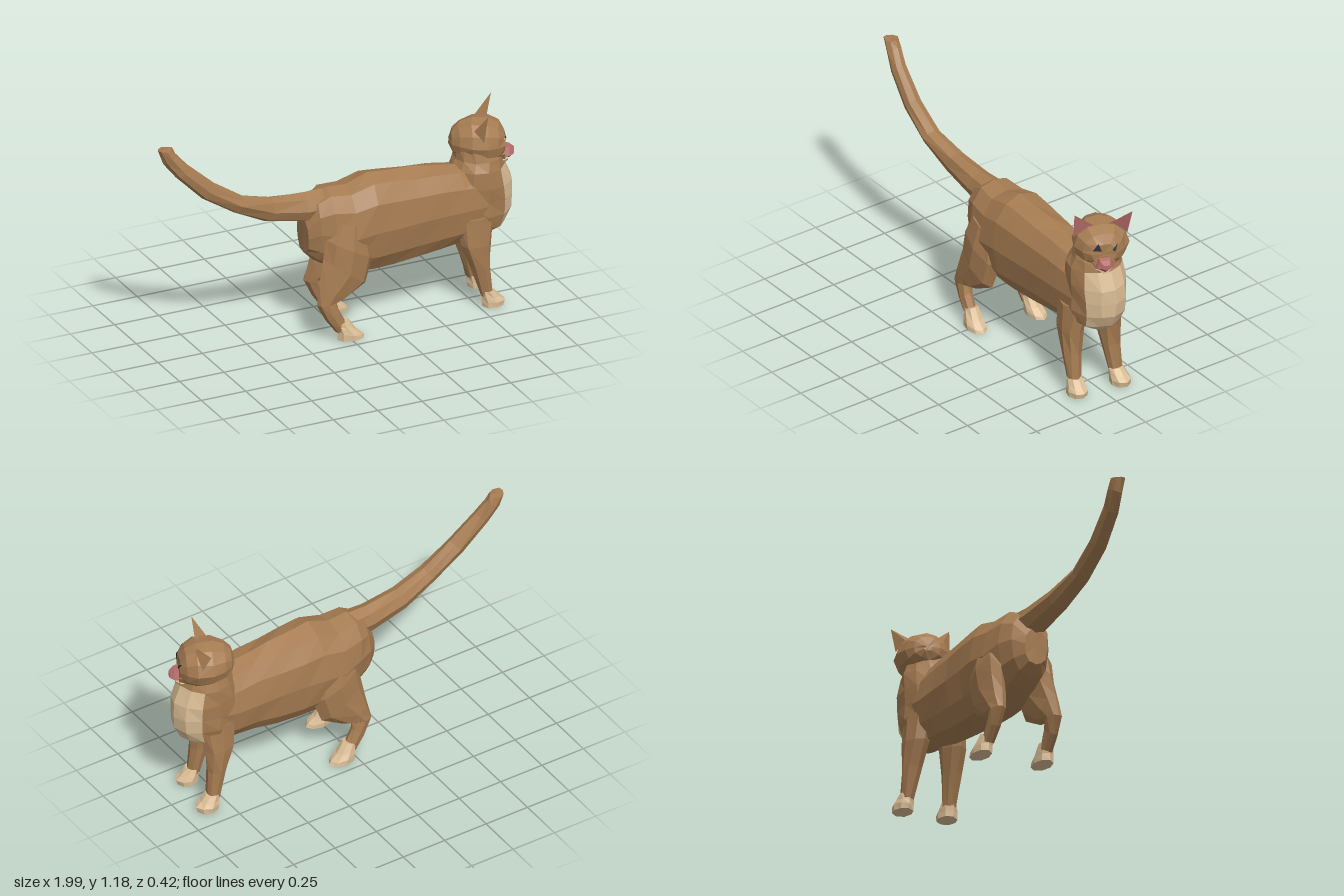
import * as THREE from 'three';

const mat = (name, color) => {
  const m = new THREE.MeshStandardMaterial({ color });
  m.name = name;
  return m;
};

// Small seeded wobble for a hand-cut, faceted look
let seed = 7;
const wobble = (amount) => {
  seed = (seed * 16807) % 2147483647;
  return (seed / 2147483647 - 0.5) * 2 * amount;
};

const flat = (geometry) => {
  const g = geometry.index ? geometry.toNonIndexed() : geometry;
  g.computeVertexNormals();
  return g;
};

// Skin rounded rings [x, y, z, radius in the side plane, radius in z, tilt in degrees].
// power below 1 makes the rings boxier; paint(ring, side) may return 1 for the second material.
function loft(name, materials, rings, { sides = 8, rough = 0.004, power = 1, paint = () => 0 } = {}) {
  const pos = [], faces = [[], []], last = rings.length - 1;
  const round = (v) => Math.sign(v) * Math.abs(v) ** power;
  for (const [x, y, z, r, rz, tilt] of rings) {
    const t = THREE.MathUtils.degToRad(tilt);
    for (let j = 0; j < sides; j++) {
      const a = (j / sides) * Math.PI * 2, u = r * round(Math.cos(a));
      pos.push(x + u * Math.cos(t) + wobble(rough), y + u * Math.sin(t) + wobble(rough),
        z + rz * round(Math.sin(a)) + wobble(rough));
    }
  }
  for (const ring of [rings[0], rings[last]]) pos.push(ring[0], ring[1], ring[2]);
  const start = rings.length * sides;
  for (let j = 0; j < sides; j++) {
    const k = (j + 1) % sides;
    for (let i = 0; i < last; i++) {
      const a = i * sides + j, b = i * sides + k, c = a + sides, d = b + sides;
      faces[paint(i, j)].push(a, b, c, b, d, c);
    }
    faces[0].push(start, k, j, start + 1, last * sides + j, last * sides + k);
  }
  const g = new THREE.BufferGeometry();
  g.setAttribute('position', new THREE.Float32BufferAttribute(pos, 3));
  g.setIndex([...faces[0], ...faces[1]]);
  if (Array.isArray(materials)) {
    g.addGroup(0, faces[0].length, 0);
    g.addGroup(faces[0].length, faces[1].length, 1);
  }
  const mesh = new THREE.Mesh(flat(g), materials);
  mesh.name = name;
  return mesh;
}

function triangles(name, material, points) {
  const g = new THREE.BufferGeometry();
  g.setAttribute('position', new THREE.Float32BufferAttribute(points.flat(), 3));
  const mesh = new THREE.Mesh(flat(g), material);
  mesh.name = name;
  return mesh;
}

export function createModel() {
  seed = 7;
  const fur = mat('brown fur', 0xa67c52);
  const cream = mat('cream fur', 0xdabd95);
  const pink = mat('pink skin', 0xb56c6a);
  const dark = mat('dark eye', 0x2a2f33);
  const cat = new THREE.Group();
  cat.name = 'cat';

  // Trunk: [x, top, bottom, half width]
  const trunk = [
    [-0.185, 0.64, 0.45, 0.07], [-0.13, 0.75, 0.4, 0.115], [-0.06, 0.79, 0.355, 0.145],
    [0.05, 0.78, 0.305, 0.166], [0.17, 0.82, 0.285, 0.17], [0.28, 0.815, 0.288, 0.163],
    [0.42, 0.8, 0.302, 0.152], [0.55, 0.785, 0.317, 0.145], [0.67, 0.768, 0.333, 0.142],
    [0.8, 0.75, 0.365, 0.135],
  ];
  cat.add(loft('body', fur, trunk.map(([x, top, bottom, w]) =>
    [x, (top + bottom) / 2, 0, (top - bottom) / 2, w, 90]), { sides: 12, rough: 0.005, power: 0.87 }));

  // Chest and neck with the cream bib on the front: [y, rear x, front x, half width]
  const chest = [
    [0.87, 0.69, 0.89, 0.1], [0.79, 0.68, 0.932, 0.125], [0.74, 0.655, 0.95, 0.142],
    [0.65, 0.62, 0.985, 0.147], [0.57, 0.61, 0.992, 0.145], [0.49, 0.62, 0.985, 0.142],
    [0.42, 0.65, 0.95, 0.125], [0.385, 0.69, 0.91, 0.085], [0.36, 0.73, 0.865, 0.05],
  ];
  cat.add(loft('chest', [fur, cream], chest.map(([y, back, front, w]) =>
    [(back + front) / 2, y, -0.006, (front - back) / 2, w, 0]),
  { sides: 12, rough: 0.005, paint: (i, j) => (i >= 2 && (j < 2 || j > 9) ? 1 : 0) }));

  // Tail, from tip to rump
  cat.add(loft('tail', fur, [
    [-0.957, 1.178, -0.012, 0.041, 0.036, 3], [-0.932, 1.125, -0.008, 0.043, 0.04, 32],
    [-0.87, 1.045, 0.005, 0.044, 0.042, 43], [-0.73, 0.915, 0.022, 0.048, 0.047, 50],
    [-0.56, 0.808, 0.024, 0.05, 0.052, 60], [-0.38, 0.735, 0.008, 0.066, 0.058, 75],
    [-0.18, 0.7, 0, 0.08, 0.07, 87], [-0.02, 0.7, 0, 0.082, 0.08, 90],
  ]));

  // Legs: the right pair stands a little further forward
  for (const s of [1, -1]) {
    const side = s > 0 ? 'left' : 'right';
    const f = s > 0 ? 0 : 0.035, h = s > 0 ? 0 : 0.07;
    cat.add(loft(side + 'FrontLeg', fur, [
      [0.745 + f, 0.5, s * 0.085, 0.11, 0.06, 0], [0.742 + f, 0.35, s * 0.102, 0.083, 0.06, 0],
      [0.765 + f, 0.22, s * 0.108, 0.054, 0.051, 0], [0.795 + f, 0.06, s * 0.115, 0.035, 0.038, 0],
    ]));
    cat.add(loft(side + 'FrontPaw', cream, [
      [0.797 + f, 0.085, s * 0.116, 0.036, 0.041, 0], [0.815 + f, 0.05, s * 0.119, 0.05, 0.047, 0],
      [0.829 + f, 0.028, s * 0.122, 0.064, 0.053, 0], [0.827 + f, 0, s * 0.122, 0.058, 0.053, 0],
    ], { rough: 0.002 }));
    cat.add(loft(side + 'HindLeg', fur, [
      [0.03 + h, 0.61, s * 0.108, 0.09, 0.055, -20], [0.02 + h, 0.48, s * 0.115, 0.15, 0.07, -28],
      [-0.01 + h, 0.36, s * 0.127, 0.146, 0.06, -36], [-0.085 + h, 0.262, s * 0.138, 0.088, 0.047, -38],
      [-0.122 + h, 0.208, s * 0.147, 0.057, 0.037, 0], [-0.095 + h, 0.14, s * 0.151, 0.045, 0.033, 35],
      [-0.045 + h, 0.06, s * 0.155, 0.036, 0.032, 30],
    ]));
    cat.add(loft(side + 'HindPaw', cream, [
      [-0.042 + h, 0.095, s * 0.154, 0.04, 0.036, 20], [-0.018 + h, 0.06, s * 0.158, 0.055, 0.044, -12],
      [0.003 + h, 0.028, s * 0.162, 0.072, 0.05, -10], [0.007 + h, 0, s * 0.163, 0.076, 0.049, 0],
    ], { rough: 0 }));
  }

  // Head, turned slightly to the left
  const head = new THREE.Group();
  head.name = 'head';
  const skull = loft('skull', fur, [
    [-0.158, -0.005, 0, 0.02, 0.02, 90], [-0.142, -0.003, 0, 0.062, 0.068, 90],
    [-0.105, 0, 0, 0.096, 0.105, 90], [-0.04, 0, 0, 0.12, 0.14, 90],
    [0.04, 0, 0, 0.12, 0.143, 90], [0.095, -0.005, 0, 0.098, 0.11, 90],
    [0.125, -0.012, 0, 0.06, 0.065, 90],
  ], { sides: 12 });
  head.add(skull);
  head.add(loft('muzzle', fur, [
    [0.07, -0.06, 0, 0.06, 0.077, 90], [0.128, -0.064, 0, 0.046, 0.056, 90],
  ], { rough: 0.002 }));
  head.add(loft('chin', cream, [
    [0.06, -0.104, 0, 0.028, 0.052, 90], [0.12, -0.102, 0, 0.028, 0.045, 90],
    [0.143, -0.098, 0, 0.018, 0.028, 90],
  ], { rough: 0 }));
  head.add(loft('nose', pink, [
    [0.174, -0.066, -0.004, 0.016, 0.024, -90], [0.15, -0.067, 0, 0.037, 0.045, -90],
    [0.11, -0.064, 0, 0.046, 0.054, -90],
  ], { sides: 5, rough: 0 }));

  // Eyes are thin faces laid on the skull: corners are [y, z]
  skull.updateMatrixWorld();
  const ray = new THREE.Raycaster();
  const onFace = ([y, z]) => {
    ray.set(new THREE.Vector3(1, y, z), new THREE.Vector3(-1, 0, 0));
    return [ray.intersectObject(skull)[0].point.x + 0.008, y, z];
  };
  head.add(triangles('leftEye', dark, [[0.012, 0.062], [0.01, 0.014], [0.052, 0.03]].map(onFace)));
  head.add(triangles('rightEye', dark, [[0.014, -0.04], [0.002, -0.055], [0.04, -0.072]].map(onFace)));

  // Ears: pink front, furry back
  for (const s of [1, -1]) {
    const side = s > 0 ? 'left' : 'right';
    const outer = [0.02, 0.04, s * 0.139], inner = [0.035, 0.112, s * 0.042];
    const back = [-0.03, 0.085, s * 0.095];
    const tip = s > 0 ? [0.04, 0.182, 0.138] : [0.06, 0.185, -0.158];
    const [a, b] = s > 0 ? [outer, inner] : [inner, outer];
    head.add(triangles(side + 'EarInside', pink, [a, b, tip]));
    head.add(triangles(side + 'EarBack', fur, [b, back, tip, back, a, tip]));
  }
  head.position.set(0.825, 0.865, -0.022);
  head.rotation.y = THREE.MathUtils.degToRad(-25);
  cat.add(head);
  return cat;
}
